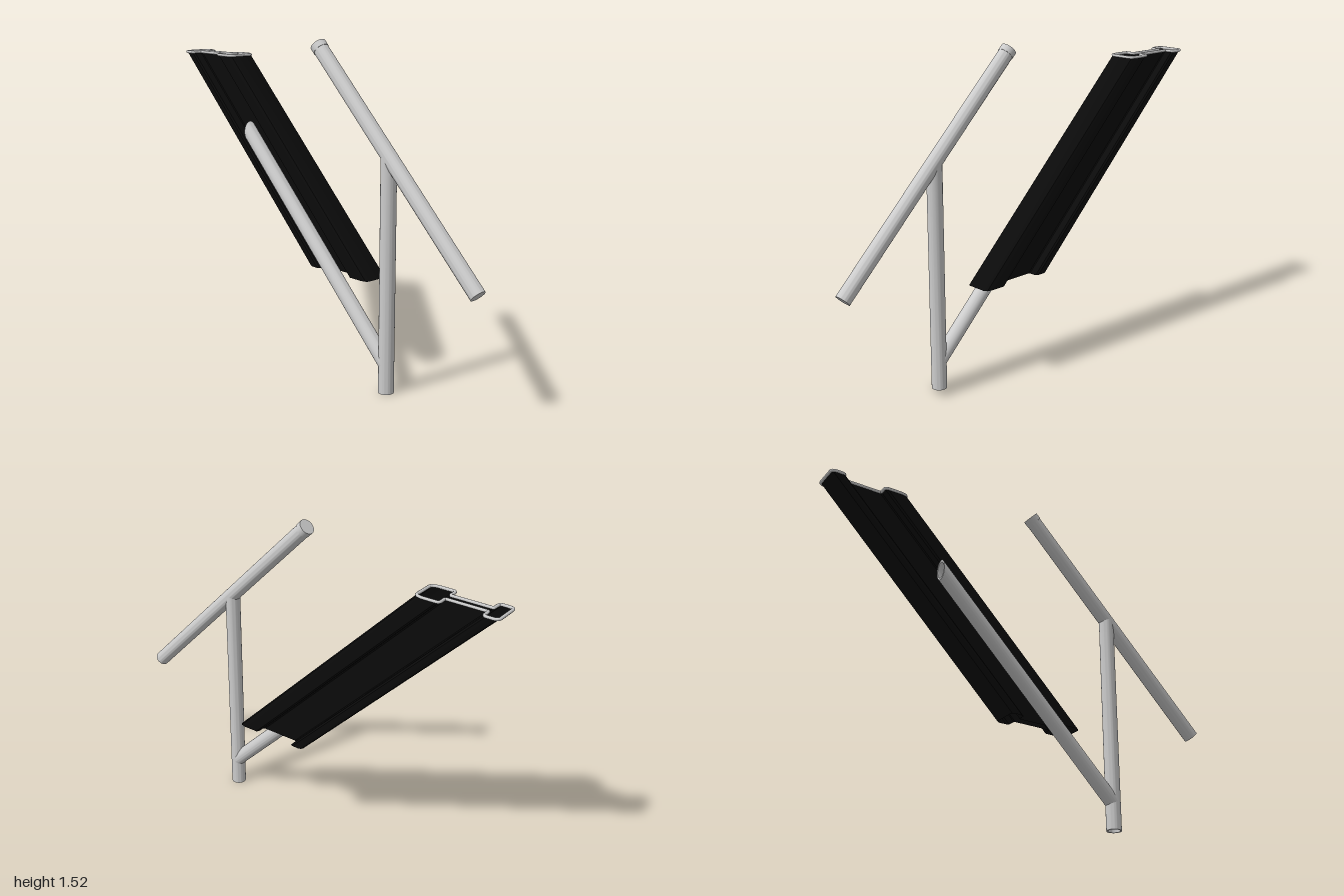
import * as THREE from 'three';
import { toCreasedNormals } from 'three/addons/utils/BufferGeometryUtils.js';

const R = 0.035;          // tube radius
const X = -0.065;         // plane of the tube frame
const POST_Z = 0.475;
const grey = new THREE.MeshStandardMaterial({ color: 0xcccccc });
const black = new THREE.MeshStandardMaterial({ color: 0x0a0a0a, side: THREE.DoubleSide });

// depth of a saddle cut against another tube, at sideways offset x
const saddle = (x) => Math.sqrt(Math.max(0, R * R - x * x));

// Tube along local y; start and end heights are functions of (x, z) so ends can be coped
function tube(name, inner, start, end, y, z, tilt) {
  const profile = [[inner, 0], [R, 0], [R, 1], [inner, 1]].map(([a, b]) => new THREE.Vector2(a, b));
  if (inner > 0) profile.push(profile[0].clone());
  const g = new THREE.LatheGeometry(profile, 40);
  const p = g.attributes.position;
  for (let i = 0; i < p.count; i++) {
    const px = p.getX(i), pz = p.getZ(i);
    p.setY(i, THREE.MathUtils.lerp(start(px, pz), end(px, pz), p.getY(i)));
  }
  const mesh = new THREE.Mesh(toCreasedNormals(g, 0.7), grey);
  mesh.name = name;
  mesh.position.set(X, y, z);
  mesh.rotation.x = tilt;
  return mesh;
}

// I-shaped horizontal section at the top of the beam, mirrored about its web
function beamSection() {
  const half = [
    [0.05, -0.993], [0.061, -0.988], [0.066, -0.975], [0.066, -0.94], [0.06, -0.928],
    [0.024, -0.926], [0.02, -0.92], [0.02, -0.74], [0.024, -0.732], [0.058, -0.732],
    [0.066, -0.722], [0.066, -0.65], [0.06, -0.628], [0.048, -0.619],
  ];
  const mirrored = half.map(([x, z]) => [-x, z]).reverse();
  return [...half, ...mirrored].map(([x, z]) => [x + 0.026, z]);
}

// Beam skin: the section sheared 45 degrees from top to bottom
function beamSkin(section, top, bottom) {
  const pos = [], index = [], n = section.length;
  for (const y of [top, bottom]) for (const [x, z] of section) pos.push(x, y, z + top - y);
  for (let i = 0; i < n; i++) {
    const j = (i + 1) % n;
    index.push(i, j, n + i, j, n + j, n + i);
  }
  const g = new THREE.BufferGeometry();
  g.setAttribute('position', new THREE.Float32BufferAttribute(pos, 3));
  g.setIndex(index);
  return toCreasedNormals(g, 0.6);
}

export function createModel() {
  const model = new THREE.Group();
  const hollow = R - 0.007, r2 = Math.SQRT2, slope = -Math.PI / 4;

  // upright post, coped under the upper rail
  model.add(tube('post', hollow, () => 0,
    (x, z) => 1.53 - POST_Z - z - r2 * saddle(x), 0, POST_Z, 0));

  // sloping upper rail with an end cap
  const length = 0.94 * r2;
  const rail = tube('upperRail', 0, () => 0, () => length, 0.553, 0.975, slope);
  const cap = new THREE.Mesh(new THREE.CylinderGeometry(R + 0.002, R + 0.002, 0.03, 40), grey);
  cap.name = 'railCap';
  cap.position.y = length - 0.014;
  rail.add(cap);
  model.add(rail);

  // lower brace, coped against the post and cut upright at the far end
  model.add(tube('lowerBrace', hollow, (x, z) => z + r2 * saddle(x),
    (x, z) => z + r2 * 0.925, 0.13, POST_Z, slope));

  // sloping hollow beam with a rounded rim around its top edge
  const section = beamSection();
  const beam = new THREE.Group();
  beam.name = 'beam';
  const skin = new THREE.Mesh(beamSkin(section, 1.403, 0.463), black);
  skin.name = 'beamSkin';
  const path = new THREE.CatmullRomCurve3(
    section.map(([x, z]) => new THREE.Vector3(x, 1.403, z)), true, 'catmullrom', 0.1);
  const rim = new THREE.Mesh(new THREE.TubeGeometry(path, 300, 0.007, 8, true), grey);
  rim.name = 'beamRim';
  beam.add(skin, rim);
  model.add(beam);

  return model;
}
